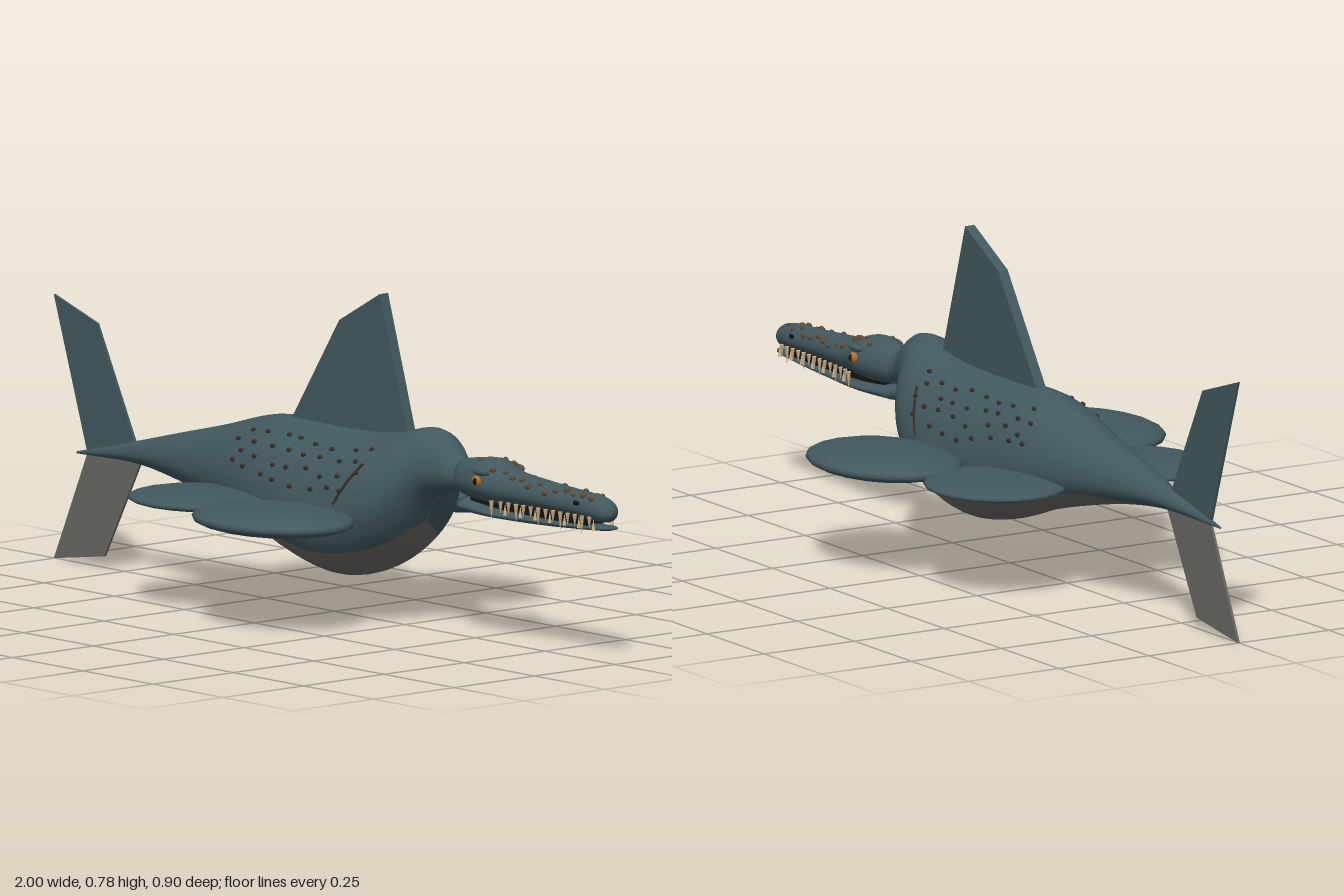
import * as THREE from 'three';

const mat = (name, color, side = THREE.FrontSide) => {
  const m = new THREE.MeshStandardMaterial({ color, side });
  m.name = name;
  return m;
};

// Smooth interpolation of station rows [x, top, bottom, halfWidth]
function sample(rows, x) {
  let i = 0;
  while (i < rows.length - 2 && x > rows[i + 1][0]) i++;
  const a = rows[i], b = rows[i + 1], p = rows[i - 1] || a, q = rows[i + 2] || b;
  const d = b[0] - a[0], t = Math.min(1, Math.max(0, (x - a[0]) / d));
  return [1, 2, 3].map(k => {
    const ma = (b[k] - p[k]) / (b[0] - p[0]) * d, mb = (q[k] - a[k]) / (q[0] - a[0]) * d;
    const t2 = t * t, t3 = t2 * t;
    return (2 * t3 - 3 * t2 + 1) * a[k] + (t3 - 2 * t2 + t) * ma + (3 * t2 - 2 * t3) * b[k] + (t3 - t2) * mb;
  });
}

// Point on an egg-shaped section; angle 0 is the bottom, PI/2 is +z
function surface(rows, x, angle, low = 0.42, pinch = 1.2) {
  const [top, bottom, w] = sample(rows, x);
  const c = bottom + low * (top - bottom), cos = Math.cos(angle), s = Math.sin(angle);
  const y = cos > 0 ? c - (c - bottom) * cos : c - (top - c) * cos;
  const z = cos > 0 ? w * s : w * Math.sign(s) * Math.abs(s) ** pinch;
  return new THREE.Vector3(x, y, z);
}

// Loft along x; the lower strip, of half angle spread(x), goes in a second material group
function loft(rows, steps, spread, low, pinch) {
  const under = 12, n = 40, pos = [], groups = [[], []];
  const x0 = rows[0][0], x1 = rows[rows.length - 1][0];
  const ring = (x, flat) => {
    const L = spread(x), mid = surface(rows, x, 0, low, pinch);
    mid.y += (sample(rows, x)[0] - mid.y) * 0.45;
    for (let j = 0; j < n; j++) {
      const a = j <= under ? -L + 2 * L * j / under : L + (2 * Math.PI - 2 * L) * (j - under) / (n - under);
      const p = flat ? mid : surface(rows, x, a, low, pinch);
      pos.push(p.x, p.y, p.z);
    }
  };
  ring(x0, true);
  for (let i = 0; i <= steps; i++) ring(x0 + (x1 - x0) * i / steps, false);
  ring(x1, true);
  for (let i = 0; i < steps + 2; i++) for (let j = 0; j < n; j++) {
    const a = i * n + j, b = i * n + (j + 1) % n;
    groups[j < under ? 1 : 0].push(a, a + n, b, b, a + n, b + n);
  }
  const g = new THREE.BufferGeometry();
  g.setAttribute('position', new THREE.Float32BufferAttribute(pos, 3));
  g.setIndex([...groups[0], ...groups[1]]);
  g.addGroup(0, groups[0].length, 0);
  g.addGroup(groups[0].length, groups[1].length, 1);
  g.computeVertexNormals();
  return g;
}

// Flat plate in the x-y plane, centred on z = 0
function plate(points, depth) {
  const shape = new THREE.Shape(points.map(p => new THREE.Vector2(...p)));
  return new THREE.ExtrudeGeometry(shape, { depth, bevelEnabled: false }).translate(0, 0, -depth / 2);
}

export function createModel() {
  const model = new THREE.Group();
  const skin = mat('sea teal skin', 0x41595f);
  const belly = mat('grey belly', 0x6b6964);
  const spotBrown = mat('dark brown spots', 0x3a2e26);
  const wartBrown = mat('brown warts', 0x65492f);
  const ivory = mat('ivory teeth', 0xd2b48c);
  const amber = mat('amber eyes', 0xb8702a);
  const black = mat('black', 0x141414);

  const add = (name, geometry, material, parent = model) => {
    const m = new THREE.Mesh(geometry, material);
    m.name = name;
    parent.add(m);
    return m;
  };
  const group = name => {
    const g = new THREE.Group();
    g.name = name;
    model.add(g);
    return g;
  };

  // Body and neck
  const bodyRows = [
    [-0.92, 0.267, 0.262, 0.002], [-0.7, 0.32, 0.266, 0.03], [-0.55, 0.358, 0.25, 0.06],
    [-0.4, 0.395, 0.22, 0.092], [-0.2, 0.447, 0.17, 0.135], [-0.05, 0.45, 0.12, 0.153],
    [0.07, 0.45, 0.10, 0.16], [0.18, 0.455, 0.125, 0.157], [0.27, 0.468, 0.185, 0.142],
    [0.32, 0.48, 0.25, 0.115], [0.36, 0.485, 0.315, 0.08], [0.41, 0.472, 0.335, 0.056],
    [0.45, 0.432, 0.345, 0.042], [0.52, 0.425, 0.345, 0.04]];
  const bellySpread = x => {
    const front = Math.max(0, 1 - ((Math.max(x, 0.06) - 0.06) / 0.26) ** 2);
    return 0.02 + Math.sqrt(front) * Math.min(1, Math.max(0, (x + 0.75) / 0.3));
  };
  add('body', loft(bodyRows, 96, bellySpread), [skin, belly]);

  // Dorsal fin and tail flukes
  add('dorsalFin', plate([[-0.15, 0.43], [0.28, 0.44], [0.175, 0.78], [0.03, 0.70]], 0.026), skin);
  add('upperFluke', plate([[-0.88, 0.268], [-0.69, 0.275], [-0.845, 0.58], [-1, 0.63]], 0.006), skin);
  add('lowerFluke', plate([[-0.88, 0.268], [-1, 0.003], [-0.82, 0.03], [-0.69, 0.27]], 0.006), belly);

  // Paired flippers
  for (const s of [1, -1]) {
    const side = s > 0 ? 'right' : 'left';
    add(side + 'FrontFlipper', new THREE.SphereGeometry(1, 20, 14), skin)
      .position.set(0.105, 0.266, s * 0.283);
    model.children.at(-1).scale.set(0.22, 0.033, 0.168);
    add(side + 'RearFlipper', new THREE.SphereGeometry(1, 20, 14), skin)
      .position.set(-0.25, 0.264, s * 0.2);
    model.children.at(-1).scale.set(0.182, 0.021, 0.164);
  }

  // Head with long snout, and lower jaw
  const headRows = [
    [0.465, 0.425, 0.345, 0.038], [0.5, 0.432, 0.338, 0.05], [0.58, 0.44, 0.335, 0.066],
    [0.65, 0.42, 0.338, 0.049], [0.75, 0.41, 0.34, 0.042], [0.87, 0.402, 0.339, 0.036],
    [0.94, 0.398, 0.336, 0.034], [0.98, 0.388, 0.338, 0.026], [0.995, 0.372, 0.35, 0.012]];
  const jawRows = [
    [0.48, 0.34, 0.303, 0.045], [0.6, 0.328, 0.302, 0.05], [0.75, 0.326, 0.304, 0.037],
    [0.9, 0.328, 0.312, 0.03], [0.98, 0.33, 0.318, 0.022], [1, 0.328, 0.323, 0.01]];
  add('head', loft(headRows, 48, () => 0.8, 0.45, 1), [skin, skin]);
  add('lowerJaw', loft(jawRows, 32, () => 0.8, 0.5, 1), [skin, skin]);
  add('mouthInterior', new THREE.BoxGeometry(0.42, 0.03, 0.046).translate(0.72, 0.332, 0), black);

  // Teeth, eyes, nostrils, warts, flank spots and gill slits on both sides
  let seed = 7;
  const rnd = () => (seed = (seed * 16807) % 2147483647) / 2147483647;
  const teeth = group('teeth'), eyes = group('eyes'), nostrils = group('nostrils');
  const warts = group('headWarts'), spots = group('flankSpots'), gills = group('gillSlits');
  const ball = new THREE.SphereGeometry(1, 8, 6);
  const blob = (name, p, size, material, parent) => {
    const m = add(name, ball, material, parent);
    m.position.copy(p);
    m.scale.set(...size);
    return m;
  };
  for (const s of [1, -1]) {
    for (let i = 0; i < 14; i++) {
      const x = 0.62 + i * 0.025, len = i % 3 ? 0.03 : 0.044;
      const z = s * (sample(headRows, x)[2] * 0.9 + 0.002);
      add('upperTooth', new THREE.ConeGeometry(0.006, len, 6).rotateX(Math.PI), ivory, teeth)
        .position.set(x, 0.35 - len / 2, z);
      if (i % 2) add('lowerTooth', new THREE.ConeGeometry(0.005, 0.028, 6), ivory, teeth)
        .position.set(x + 0.012, 0.333, z * 0.92);
    }
    const eye = surface(headRows, 0.58, s * 1.75, 0.45, 1);
    blob('eye', eye, [0.016, 0.013, 0.009], amber, eyes);
    blob('pupil', eye.clone().add(new THREE.Vector3(0.002, 0, s * 0.006)), [0.007, 0.009, 0.005], black, eyes);
    blob('brow', surface(headRows, 0.585, s * 2.15, 0.45, 1), [0.03, 0.009, 0.01], skin, eyes);
    blob('nostril', surface(headRows, 0.9, s * 1.9, 0.45, 1), [0.012, 0.006, 0.003], black, nostrils);
    for (let i = 0; i < 14; i++) {
      const r = 0.005 + rnd() * 0.003;
      blob('wart', surface(headRows, 0.55 + i * 0.03, s * (2 + rnd() * 0.8), 0.45, 1), [r * 1.3, r, r], wartBrown, warts);
    }
    for (let row = 0; row < 4; row++) for (let i = 0; i < 8; i++) {
      const x = -0.24 + i * 0.062 + (row % 2) * 0.03 + (rnd() - 0.5) * 0.025;
      const p = surface(bodyRows, x, s * (1.93 + row * 0.2 + (rnd() - 0.5) * 0.1));
      blob('spot', p, [0.009, 0.006, 0.005], spotBrown, spots);
    }
    const path = [0, 0.5, 1].map(t => surface(bodyRows, 0.17 + t * 0.06, s * (1.75 + t * 0.5)));
    add('gillSlit', new THREE.TubeGeometry(new THREE.CatmullRomCurve3(path), 10, 0.004, 6), spotBrown, gills);
  }
  return model;
}
